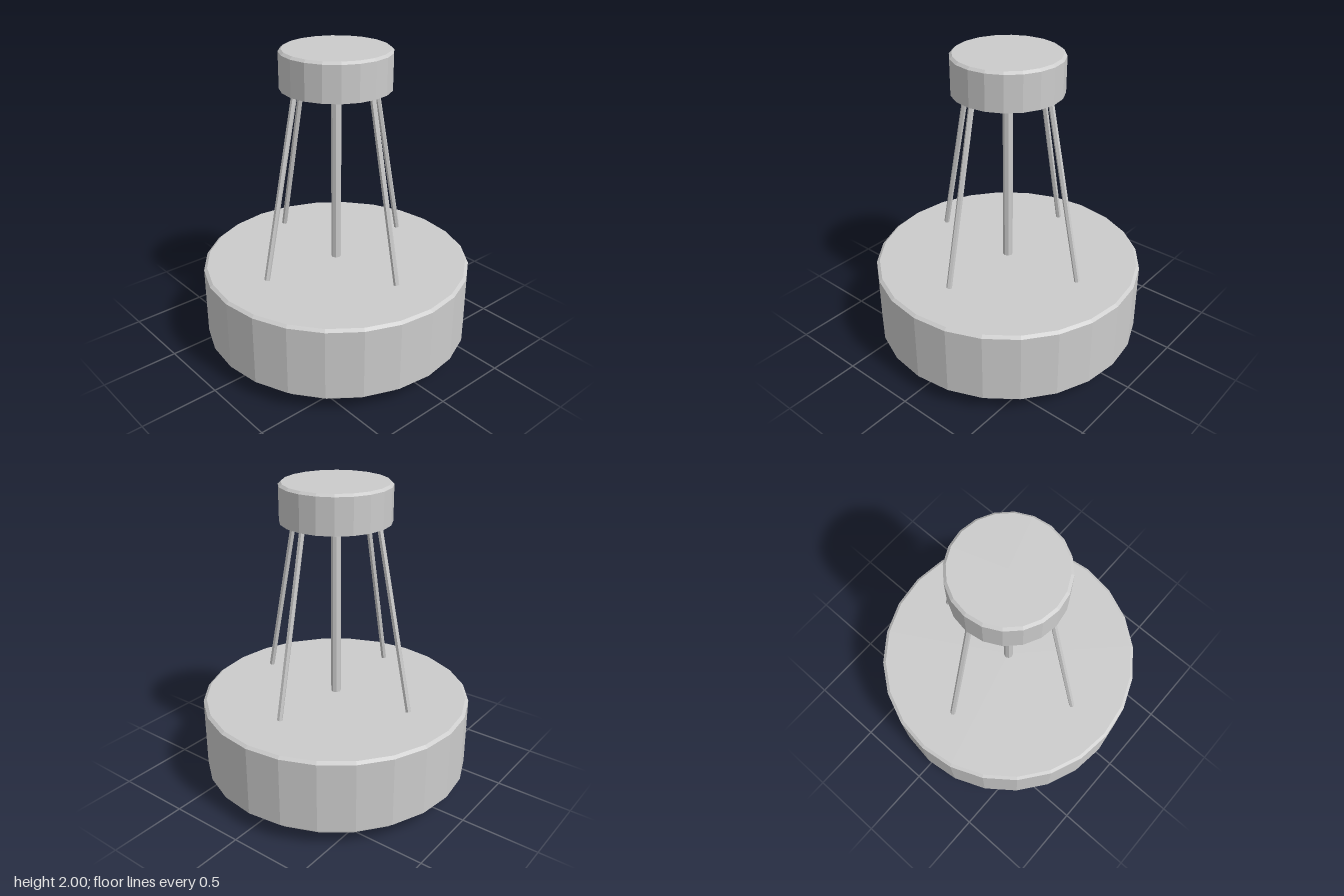
import * as THREE from 'three';

const material = new THREE.MeshStandardMaterial({
  color: 0xcccccc, flatShading: true, side: THREE.DoubleSide,
});

function addMesh(parent, name, geometry) {
  const mesh = new THREE.Mesh(geometry, material);
  mesh.name = name;
  parent.add(mesh);
  return mesh;
}

// Faceted turned part from [radius, height] pairs
function turned(points, sides) {
  return new THREE.LatheGeometry(points.map(([r, y]) => new THREE.Vector2(r, y)), sides);
}

// Straight rod between two points
function addRod(parent, name, from, to, radius, sides) {
  const dir = to.clone().sub(from);
  const rod = addMesh(parent, name, new THREE.CylinderGeometry(radius, radius, dir.length(), sides));
  rod.position.copy(from).add(to).multiplyScalar(0.5);
  rod.quaternion.setFromUnitVectors(new THREE.Vector3(0, 1, 0), dir.normalize());
  return rod;
}

export function createModel() {
  const lamp = new THREE.Group();
  lamp.name = 'ceilingLamp';

  // Wide drum shade with a stepped underside
  addMesh(lamp, 'drumShade', turned([
    [0.72, 0.1], [0.74, 0.07], [0.82, 0.07], [0.83, 0.115],
    [0.875, 0.12], [0.875, 0.58], [0.855, 0.595], [0, 0.6],
  ], 24));

  // Recessed diffuser disc inside the lower rim
  addMesh(lamp, 'lowerRim', turned([
    [0, 0.115], [0.64, 0.115], [0.64, 0], [0.65, 0], [0.65, 0.08], [0.72, 0.1],
  ], 24));

  // Ceiling canopy, open underneath
  addMesh(lamp, 'canopy', turned([
    [0.347, 1.76], [0.347, 1.985], [0.33, 2], [0, 2],
  ], 20));

  // Central stem
  addRod(lamp, 'centreStem', new THREE.Vector3(0, 0.59, 0), new THREE.Vector3(0, 1.7, 0), 0.032, 8);

  // Four splayed support rods
  for (let i = 0; i < 4; i++) {
    const a = i * Math.PI / 2;
    const at = (r, y) => new THREE.Vector3(r * Math.sin(a), y, r * Math.cos(a));
    addRod(lamp, 'supportRod' + (i + 1), at(0.568, 0.63), at(0.322, 1.77), 0.018, 6);
  }

  return lamp;
}
